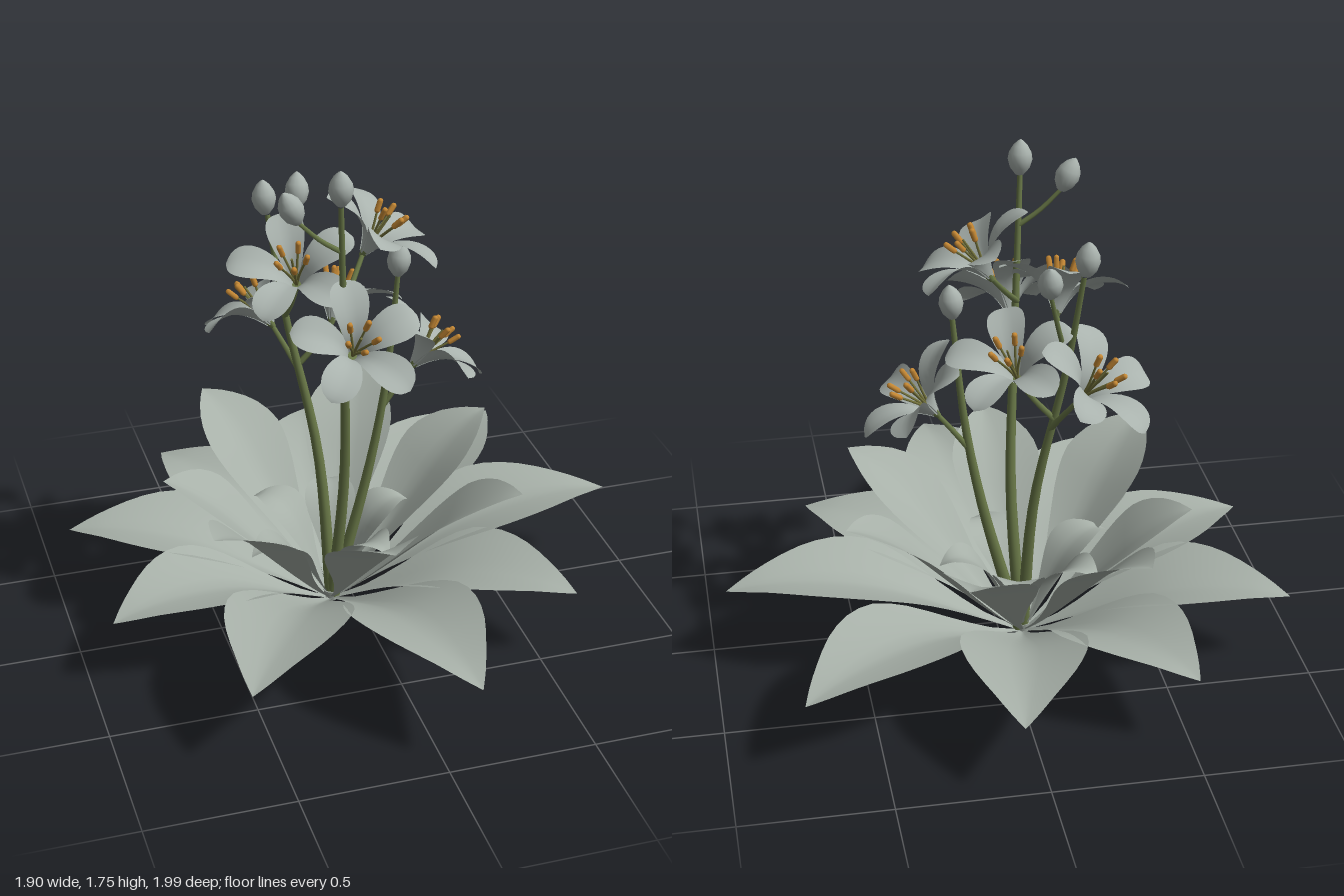
import * as THREE from 'three';

const paint = (name, color, side = THREE.FrontSide) => {
  const m = new THREE.MeshStandardMaterial({ color, side });
  m.name = name;
  return m;
};

const V = (p) => new THREE.Vector3(...p);
const UP = new THREE.Vector3(0, 1, 0);
const ROOT = [-0.08, 0, -0.07];

// Curved blade running along +z; each section is [halfWidth, height, reach].
// It is folded most near its base and flattens towards its tip.
function blade(sections, cup, rows = 18, cols = 8) {
  const curve = new THREE.CatmullRomCurve3(sections.map(V));
  const widest = Math.max(...sections.map((s) => s[0]));
  const geo = new THREE.PlaneGeometry(1, 1, cols, rows);
  const pos = geo.attributes.position;
  for (let j = 0; j <= rows; j++) {
    const t = j / rows;
    const p = curve.getPoint(t);
    const w = Math.max(p.x, 0);
    for (let i = 0; i <= cols; i++) {
      const s = 1 - (2 * i) / cols;
      const rise = cup * (1.9 - 1.4 * t) * Math.pow(Math.abs(s), 1.3) * (w / widest);
      pos.setXYZ(j * (cols + 1) + i, s * w, p.y + rise, p.z);
    }
  }
  geo.computeVertexNormals();
  return geo;
}

// Tube that narrows from r0 to r1 along its path.
function taperedTube(points, r0, r1, segments = 14, sides = 8) {
  const curve = new THREE.CatmullRomCurve3(points.map(V));
  const geo = new THREE.TubeGeometry(curve, segments, r0, sides);
  const pos = geo.attributes.position;
  const v = new THREE.Vector3();
  for (let j = 0; j <= segments; j++) {
    const c = curve.getPointAt(j / segments);
    const k = 1 + (r1 / r0 - 1) * (j / segments);
    for (let i = 0; i <= sides; i++) {
      const n = j * (sides + 1) + i;
      v.fromBufferAttribute(pos, n).sub(c).multiplyScalar(k).add(c);
      pos.setXYZ(n, v.x, v.y, v.z);
    }
  }
  return geo;
}

export function createModel() {
  const leafMat = paint('leaf grey', 0xa7b0a8, THREE.DoubleSide);
  const petalMat = paint('petal grey', 0xa9b2ad, THREE.DoubleSide);
  const stemMat = paint('stem green', 0x6a7948);
  const filamentMat = paint('filament olive', 0x74733c);
  const antherMat = paint('anther orange', 0xc88a35);

  const model = new THREE.Group();
  model.name = 'floweringRosette';
  const add = (parent, name, geo, mat) => {
    const mesh = new THREE.Mesh(geo, mat);
    mesh.name = name;
    parent.add(mesh);
    return mesh;
  };

  // Leaves: shape is a list of [reach, height, width] as fractions
  const outerShape = [[0, 0, 0.05], [0.13, 0.24, 0.13], [0.27, 0.51, 0.42], [0.39, 0.73, 0.77],
    [0.5, 0.89, 0.98], [0.62, 1.0, 0.96], [0.74, 1.06, 0.77], [0.86, 1.07, 0.45], [0.94, 1.04, 0.21], [1, 1, 0]];
  const innerShape = [[0, 0, 0.05], [0.13, 0.13, 0.12], [0.28, 0.3, 0.34], [0.43, 0.48, 0.67],
    [0.56, 0.64, 0.92], [0.67, 0.77, 0.98], [0.8, 0.89, 0.76], [0.92, 0.97, 0.35], [1, 1, 0]];
  const leaf = (name, shape, [x, y, z], width, cup) => {
    const dx = x - ROOT[0], dz = z - ROOT[2], len = Math.hypot(dx, dz);
    const mesh = add(model, name, blade(shape.map(([r, h, w]) => [w * width, h * y, r * len]), cup), leafMat);
    mesh.position.set(...ROOT);
    mesh.rotation.y = Math.atan2(dx, dz);
  };
  // Tips of each ring of leaves
  [[0.085, 0.255, -1], [0.75, 0.26, -0.77], [0.95, 0.28, -0.075], [0.62, 0.25, 0.51], [0.11, 0.29, 0.99],
    [-0.59, 0.28, 0.8], [-0.92, 0.25, 0.23], [-0.95, 0.25, -0.395], [-0.52, 0.25, -0.835],
  ].forEach((tip) => leaf('outerLeaf', outerShape, tip, 0.212, 0.05));
  [[0.21, 0.59, -0.71], [-0.39, 0.59, -0.67], [-0.645, 0.51, -0.195], [-0.6, 0.6, 0.37],
    [-0.05, 0.57, 0.58], [0.475, 0.57, 0.34], [0.55, 0.58, -0.25],
  ].forEach((tip) => leaf('innerLeaf', innerShape, tip, 0.16, 0.045));
  [[-0.4, 0.31, 0.06], [0.05, 0.32, 0.2], [0.22, 0.33, -0.12], [0.0, 0.32, -0.36], [-0.3, 0.33, -0.3],
  ].forEach((tip) => leaf('heartLeaf', outerShape, tip, 0.09, 0.02));

  // Root crown
  const crown = add(model, 'rootCrown', new THREE.CylinderGeometry(0.028, 0.02, 0.04, 10), leafMat);
  crown.position.set(ROOT[0], 0.02, ROOT[2]);

  // Main stems
  [
    [[-0.08, 0.02, -0.07], [-0.105, 0.57, -0.14], [-0.2, 1.1, -0.2], [-0.24, 1.44, -0.25]],
    [[-0.075, 0.02, -0.07], [-0.05, 0.55, 0], [-0.08, 1.1, 0.1], [-0.11, 1.63, 0.175]],
    [[-0.07, 0.02, -0.07], [0.06, 0.52, -0.07], [0.12, 0.85, -0.07], [0.16, 1.25, -0.07]],
  ].forEach((path) => add(model, 'stem', taperedTube(path, 0.023, 0.009), stemMat));

  // Buds: centre, lean direction, and the branch start where there is one
  const budGeo = new THREE.LatheGeometry([[0, -0.062], [0.015, -0.056], [0.033, -0.033], [0.041, -0.005],
    [0.037, 0.02], [0.024, 0.043], [0.009, 0.058], [0, 0.064]].map((p) => new THREE.Vector2(...p)), 14);
  [
    [[-0.11, 1.69, 0.175], [-0.04, 1, 0.05]],
    [[-0.265, 1.63, 0.145], [-0.45, 1, 0], [-0.1, 1.46, 0.15]],
    [[-0.25, 1.5, -0.255], [-0.05, 1, -0.05]],
    [[-0.11, 1.47, -0.35], [0.1, 1, -0.35], [-0.2, 1.12, -0.2]],
    [[0.163, 1.3, -0.07], [0.1, 1, 0]],
  ].forEach(([c, d, from]) => {
    const dir = V(d).normalize();
    const bud = add(model, 'bud', budGeo, petalMat);
    bud.position.set(...c);
    bud.quaternion.setFromUnitVectors(UP, dir);
    if (from) {
      const end = V(c).addScaledVector(dir, -0.055);
      const mid = V(from).lerp(end, 0.5).add(new THREE.Vector3(0, -0.01, 0));
      add(model, 'budStalk', taperedTube([from, mid.toArray(), end.toArray()], 0.009, 0.007, 6, 6), stemMat);
    }
  });

  // Flower parts shared by every bloom
  const petalGeo = blade([[0.012, 0, 0.01], [0.026, 0.045, 0.03], [0.041, 0.082, 0.06], [0.056, 0.108, 0.1],
    [0.064, 0.122, 0.145], [0.057, 0.125, 0.185], [0.035, 0.12, 0.212], [0, 0.113, 0.225]], 0.01, 14, 6);
  const filamentGeo = taperedTube([[0, 0.01, 0], [0, 0.07, 0.015], [0, 0.15, 0.045]], 0.005, 0.004, 6, 5);
  const antherGeo = new THREE.CapsuleGeometry(0.01, 0.032, 3, 6);
  const calyxGeo = new THREE.CylinderGeometry(0.016, 0.009, 0.025, 8);
  const flower = (base, d, from, spin) => {
    const dir = V(d).normalize();
    const bloom = new THREE.Group();
    bloom.name = 'flower';
    bloom.position.set(...base);
    bloom.quaternion.setFromUnitVectors(UP, dir);
    bloom.rotateY(spin);
    model.add(bloom);
    add(bloom, 'calyx', calyxGeo, stemMat);
    for (let i = 0; i < 5; i++) {
      const a = (i / 5) * Math.PI * 2;
      add(bloom, 'petal', petalGeo, petalMat).rotation.y = a;
      const stamen = new THREE.Group();
      stamen.name = 'stamen';
      stamen.rotation.y = a + Math.PI / 5;
      bloom.add(stamen);
      add(stamen, 'filament', filamentGeo, filamentMat);
      const anther = add(stamen, 'anther', antherGeo, antherMat);
      anther.position.set(0, 0.162, 0.049);
      anther.rotation.x = 0.3;
    }
    add(bloom, 'pistil', new THREE.CylinderGeometry(0.004, 0.005, 0.16, 6), filamentMat).position.y = 0.08;
    const mid = V(from).lerp(V(base), 0.55).addScaledVector(dir, -0.015);
    add(model, 'flowerStalk', taperedTube([from, mid.toArray(), base], 0.011, 0.008, 8, 6), stemMat);
  };
  flower([0.215, 0.895, -0.07], [0.67, 0.74, 0], [0.105, 0.75, -0.07], 0.3);
  flower([0.025, 1.36, -0.03], [0.5, 0.76, 0.1], [-0.09, 1.2, 0.115], 0.9);
  flower([-0.085, 1.11, 0.205], [0, 0.74, 0.67], [-0.075, 0.97, 0.08], 0.63);
  flower([-0.225, 1.015, -0.28], [-0.5, 0.8, -0.42], [-0.15, 0.86, -0.175], 0.2);
  flower([-0.185, 1.24, -0.09], [-0.2, 0.75, 0.4], [-0.2, 1.08, -0.2], 0.5);
  flower([-0.04, 1.05, -0.18], [0.25, 0.75, -0.3], [-0.16, 0.9, -0.18], 1.1);

  return model;
}
